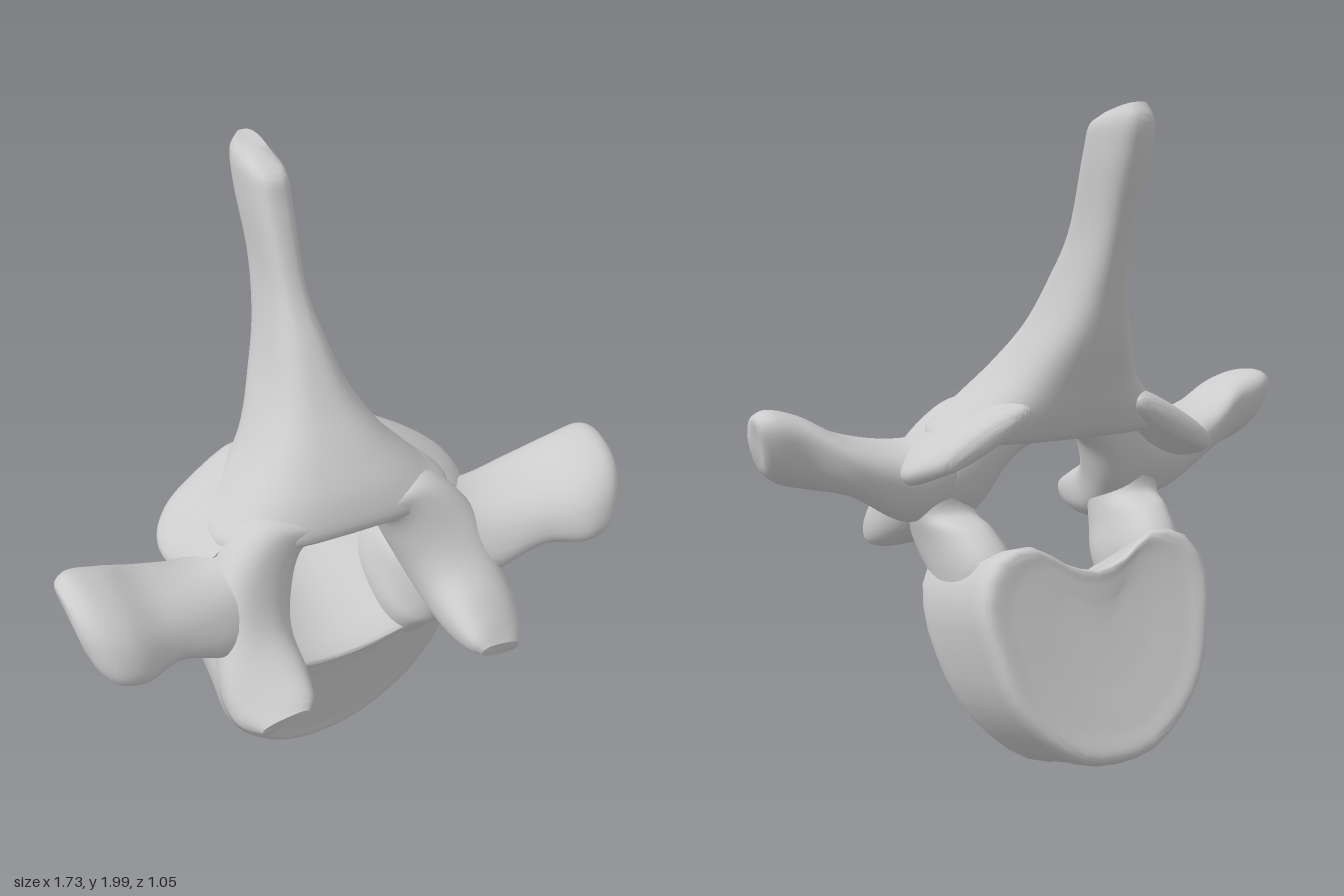
import * as THREE from 'three';
import { toCreasedNormals } from 'three/addons/utils/BufferGeometryUtils.js';

const V = (x, y, z) => new THREE.Vector3(x, y, z);
const SIDES = 36;
const material = new THREE.MeshStandardMaterial({ color: 0xcccccc });

// Smooth closed skin through a list of rings (each with SIDES points)
function loft(name, rings) {
  const steps = (rings.length - 1) * 6;
  const position = [], index = [];
  const rails = Array.from({ length: SIDES }, (_, j) =>
    new THREE.CatmullRomCurve3(rings.map((r) => r[j])));
  for (let i = 0; i <= steps; i++) {
    for (const rail of rails) position.push(...rail.getPoint(i / steps).toArray());
  }
  for (let i = 0; i < steps; i++) {
    for (let j = 0; j < SIDES; j++) {
      const k = (j + 1) % SIDES;
      const a = i * SIDES + j, b = i * SIDES + k;
      index.push(a, b, b + SIDES, a, b + SIDES, a + SIDES);
    }
  }
  // end caps
  const first = position.length / 3, start = steps * SIDES;
  for (const r of [rings[0], rings[rings.length - 1]]) position.push(...centre(r).toArray());
  for (let j = 0; j < SIDES; j++) {
    const k = (j + 1) % SIDES;
    index.push(first, k, j, first + 1, start + j, start + k);
  }
  // turn the skin outward if its enclosed volume is negative
  const p = (n) => V(...position.slice(n * 3, n * 3 + 3));
  let volume = 0;
  for (let i = 0; i < index.length; i += 3) {
    volume += p(index[i]).dot(p(index[i + 1]).cross(p(index[i + 2])));
  }
  if (volume < 0) index.reverse();

  const geometry = new THREE.BufferGeometry();
  geometry.setAttribute('position', new THREE.Float32BufferAttribute(position, 3));
  geometry.setIndex(index);
  const mesh = new THREE.Mesh(toCreasedNormals(geometry, 0.9), material);
  mesh.name = name;
  return mesh;
}

function centre(ring) {
  return ring.reduce((sum, q) => sum.add(q), V(0, 0, 0)).divideScalar(ring.length);
}

// Rounded ring from a centre and two half-axis vectors; a lower power is boxier
function oval(c, u, v, power = 0.8) {
  const soft = (n) => Math.sign(n) * Math.abs(n) ** power;
  return Array.from({ length: SIDES }, (_, j) => {
    const a = (j / SIDES) * Math.PI * 2;
    return V(...c).addScaledVector(V(...u), soft(Math.cos(a))).addScaledVector(V(...v), soft(Math.sin(a)));
  });
}

// Heart-shaped ring from half an outline [x, y] on a tilted plane
function heart(half, zAt) {
  const mirrored = half.slice(1, -1).reverse().map(([x, y]) => [-x, y]);
  const pts = [...half, ...mirrored].map(([x, y]) => V(x, y, zAt(y)));
  return new THREE.CatmullRomCurve3(pts, true).getPoints(SIDES).slice(0, SIDES);
}

function createBody() {
  const front = heart([[0, 0], [0.12, 0.025], [0.23, 0.11], [0.32, 0.23], [0.37, 0.37], [0.39, 0.51],
    [0.36, 0.62], [0.25, 0.57], [0.13, 0.52], [0, 0.5]], (y) => -0.03 + 0.32 * y);
  const back = heart([[0, 0.15], [0.12, 0.17], [0.23, 0.25], [0.31, 0.36], [0.35, 0.5], [0.37, 0.64],
    [0.31, 0.75], [0.2, 0.78], [0.1, 0.72], [0, 0.69]], (y) => -0.43 + 0.29 * (y - 0.17));
  // [position front to back, scale]: nearly flat ends with rounded rims
  const stations = [[0.005, 0.4], [-0.005, 0.75], [-0.01, 0.95], [0.05, 1], [0.3, 1],
    [0.7, 1], [0.95, 1], [1.01, 0.95], [1, 0.75], [0.98, 0.4]];
  return loft('vertebralBody', stations.map(([t, s]) => {
    const ring = front.map((q, j) => q.clone().lerp(back[j], t));
    const c = centre(ring);
    return ring.map((q) => q.sub(c).multiplyScalar(s).add(c));
  }));
}

// Spine and roof of the arch: [front z, front y, back z, back y, half width]
function createSpine() {
  const stations = [
    [0.17, 1.03, -0.05, 1.03, 0.3], [0.235, 1.06, -0.14, 1.05, 0.38],
    [0.215, 1.15, -0.2, 1.12, 0.3], [0.14, 1.26, -0.25, 1.22, 0.2],
    [0.05, 1.37, -0.32, 1.37, 0.125], [-0.05, 1.51, -0.36, 1.5, 0.08],
    [-0.14, 1.64, -0.42, 1.68, 0.055], [-0.24, 1.87, -0.5, 1.87, 0.06],
    [-0.27, 1.94, -0.52, 1.96, 0.055], [-0.32, 1.965, -0.5, 2.0, 0.035],
  ];
  return loft('spinousProcess', stations.map(([fz, fy, bz, by, w]) =>
    oval([0, (fy + by) / 2, (fz + bz) / 2], [w, 0, 0], [0, (fy - by) / 2, (fz - bz) / 2], 0.7)));
}

// Paired parts on the left side: stations of [centre, half-axis, half-axis]
const paired = {
  Pedicle: [
    [[0.27, 0.5, -0.02], [0.08, 0, 0], [0, -0.03, 0.13]],
    [[0.275, 0.64, 0], [0.095, 0, 0], [0, -0.06, 0.2]],
    [[0.295, 0.72, 0.08], [0.09, 0, 0], [0, -0.08, 0.17]],
    [[0.315, 0.79, 0.15], [0.095, 0, 0], [0, -0.03, 0.13]],
    [[0.33, 0.89, 0.15], [0.1, 0, 0], [0, 0, 0.12]],
    [[0.33, 1.02, 0.11], [0.1, -0.04, 0], [0, 0, 0.13]],
  ],
  LaminaAndFrontFacet: [
    [[0, 1.08, 0.085], [0, 0.06, 0], [0, 0.01, 0.145]],
    [[0.1, 1.075, 0.085], [0.03, 0.06, 0], [0, 0.01, 0.145]],
    [[0.205, 1.055, 0.09], [0.075, 0.07, 0], [0, 0.03, 0.14]],
    [[0.3, 0.93, 0.145], [0.115, 0.06, 0], [0, 0.05, 0.13]],
    [[0.335, 0.81, 0.25], [0.115, 0.03, 0], [0, 0.08, 0.08]],
    [[0.355, 0.73, 0.38], [0.122, -0.01, -0.02], [0, 0.08, 0.035]],
    [[0.36, 0.7, 0.46], [0.105, -0.025, -0.03], [0, 0.055, 0.02]],
    [[0.35, 0.695, 0.51], [0.07, -0.02, -0.01], [0, 0.03, 0.01]],
  ],
  TransverseProcess: [
    [[0.27, 0.95, 0.12], [0, 0.12, -0.05], [0, 0.02, 0.12]],
    [[0.42, 0.9, 0.17], [0, 0.12, -0.06], [0, 0.03, 0.14]],
    [[0.6, 0.96, 0.2], [0.01, 0.095, -0.03], [0, 0, 0.155]],
    [[0.72, 1.0, 0.25], [0.02, 0.12, -0.03], [0, -0.02, 0.155]],
    [[0.8, 1.02, 0.255], [0.025, 0.12, -0.04], [-0.01, -0.02, 0.14]],
    [[0.84, 1.03, 0.25], [0.02, 0.09, -0.03], [-0.01, -0.02, 0.11]],
    [[0.85, 1.035, 0.25], [0.01, 0.045, -0.01], [0, -0.01, 0.06]],
  ],
  BackFacet: [
    [[0.3, 1.02, 0.13], [0.14, -0.09, 0], [0.03, 0.06, 0]],
    [[0.33, 1.045, -0.03], [0.16, -0.1, 0.01], [0.03, 0.045, 0]],
    [[0.32, 1.07, -0.12], [0.16, -0.1, 0.02], [0.025, 0.04, 0]],
    [[0.3, 1.08, -0.185], [0.125, -0.075, 0.015], [0.015, 0.03, 0]],
    [[0.3, 1.08, -0.2], [0.08, -0.05, 0.01], [0.005, 0.015, 0]],
  ],
};

export function createModel() {
  const group = new THREE.Group();
  group.name = 'vertebra';
  group.add(createBody(), createSpine());
  for (const [side, sign] of [['left', 1], ['right', -1]]) {
    const flip = ([x, y, z]) => [x * sign, y, z];
    for (const [part, stations] of Object.entries(paired)) {
      group.add(loft(side + part, stations.map((s) => oval(...s.map(flip)))));
    }
  }
  return group;
}
